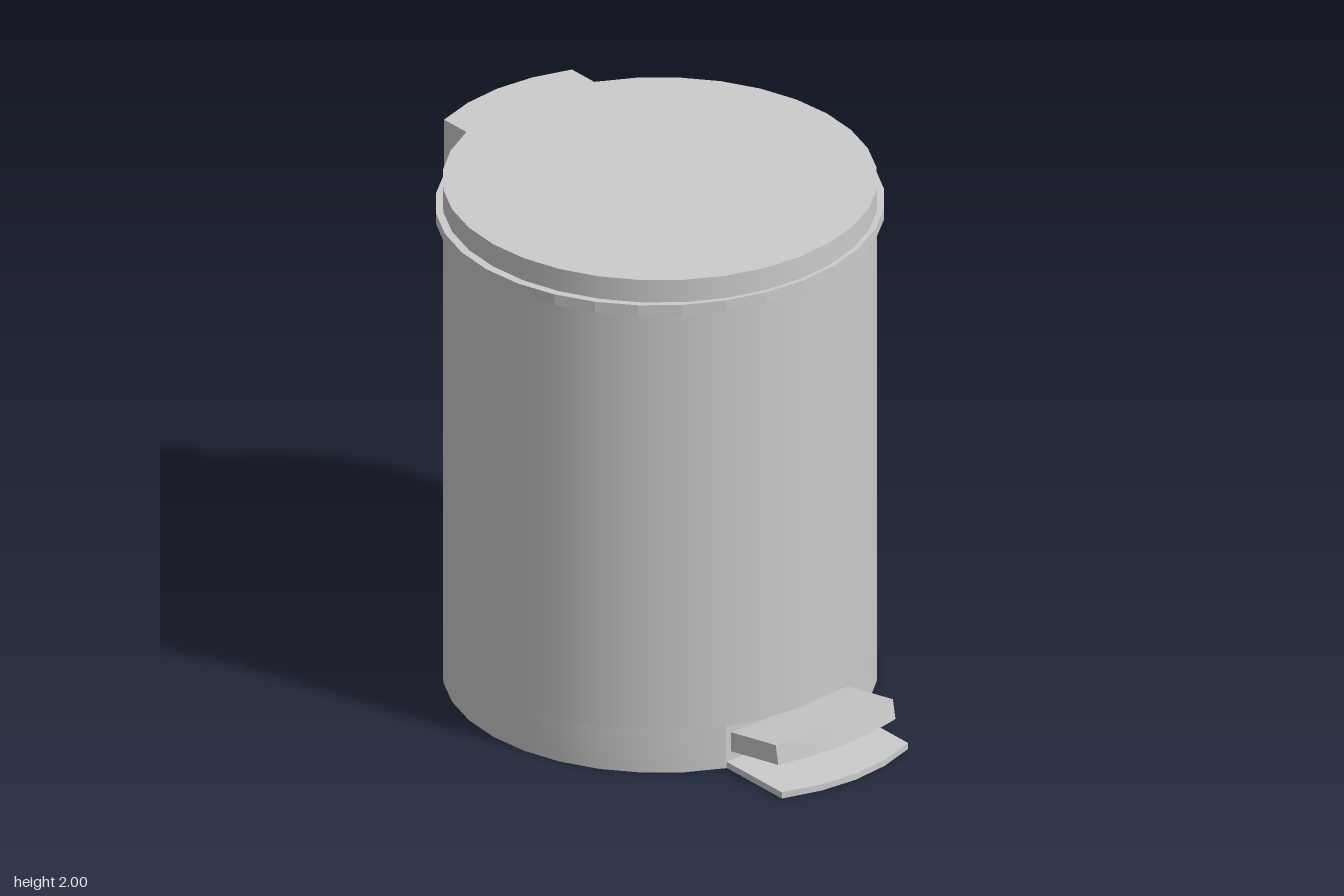
import * as THREE from 'three';
import { toCreasedNormals } from 'three/addons/utils/BufferGeometryUtils.js';

const SIDES = 32, RADIUS = 0.783, CENTRE_X = -0.092;
const HALF = 0.3; // half width of hinge and base plate

export function createModel() {
  const group = new THREE.Group();
  const grey = new THREE.MeshStandardMaterial({ color: 0xcccccc });
  const greyFlat = new THREE.MeshStandardMaterial({ color: 0xcccccc, flatShading: true });

  function add(name, geometry, material = grey) {
    const mesh = new THREE.Mesh(geometry, material);
    mesh.name = name;
    group.add(mesh);
    return mesh;
  }

  // Vertical prism over a plan outline of [x, z] points
  function slab(points, y0, y1) {
    const shape = new THREE.Shape(points.map(([x, z]) => new THREE.Vector2(x, -z)));
    const geometry = new THREE.ExtrudeGeometry(shape, { depth: y1 - y0, bevelEnabled: false });
    geometry.rotateX(-Math.PI / 2).translate(0, y0, 0);
    return toCreasedNormals(geometry, 0.3);
  }

  // Plan outline: straight inner end, outer end bowed from xCorner to xTip
  function bowedOutline(xInner, xCorner, xTip, half, steps = 4) {
    const points = [[xInner, half], [xInner, -half]];
    for (let i = 0; i <= steps; i++) {
      const t = -1 + (2 * i) / steps;
      points.push([xTip + (xCorner - xTip) * t * t, half * t]);
    }
    return points;
  }

  // Upper body with the flat lid
  const notchTop = 0.17;
  const body = new THREE.CylinderGeometry(RADIUS, RADIUS, 2 - notchTop, SIDES);
  add('body', body).position.set(CENTRE_X, (2 + notchTop) / 2, 0);

  // Lower body, cut flat behind the pedal
  const plan = [];
  for (let i = 2; i <= SIDES - 2; i++) {
    const a = (i / SIDES) * Math.PI * 2;
    plan.push([CENTRE_X + RADIUS * Math.cos(a), RADIUS * Math.sin(a)]);
  }
  add('lowerBody', slab(plan, 0, notchTop));

  // Lid rim, slightly narrower along x
  const rim = add('lidRim', new THREE.CylinderGeometry(0.815, 0.815, 0.043, SIDES), greyFlat);
  rim.position.set(CENTRE_X, 1.888, 0);
  rim.scale.x = 0.98;

  // Hinge housing at the rear of the lid
  add('hingeHousing', slab(bowedOutline(-0.7, -0.94, -1, HALF), 1.68, 2));

  // Base plate under the pedal
  add('basePlate', slab(bowedOutline(0.6, 0.94, 1, 0.296), 0, 0.025));

  // Tilted foot pedal
  const pedal = add('pedal', slab(bowedOutline(-0.02, 0.27, 0.317, 0.275), 0, 0.076));
  pedal.position.set(0.63, 0.06, 0);
  pedal.rotation.z = 0.19;

  return group;
}
